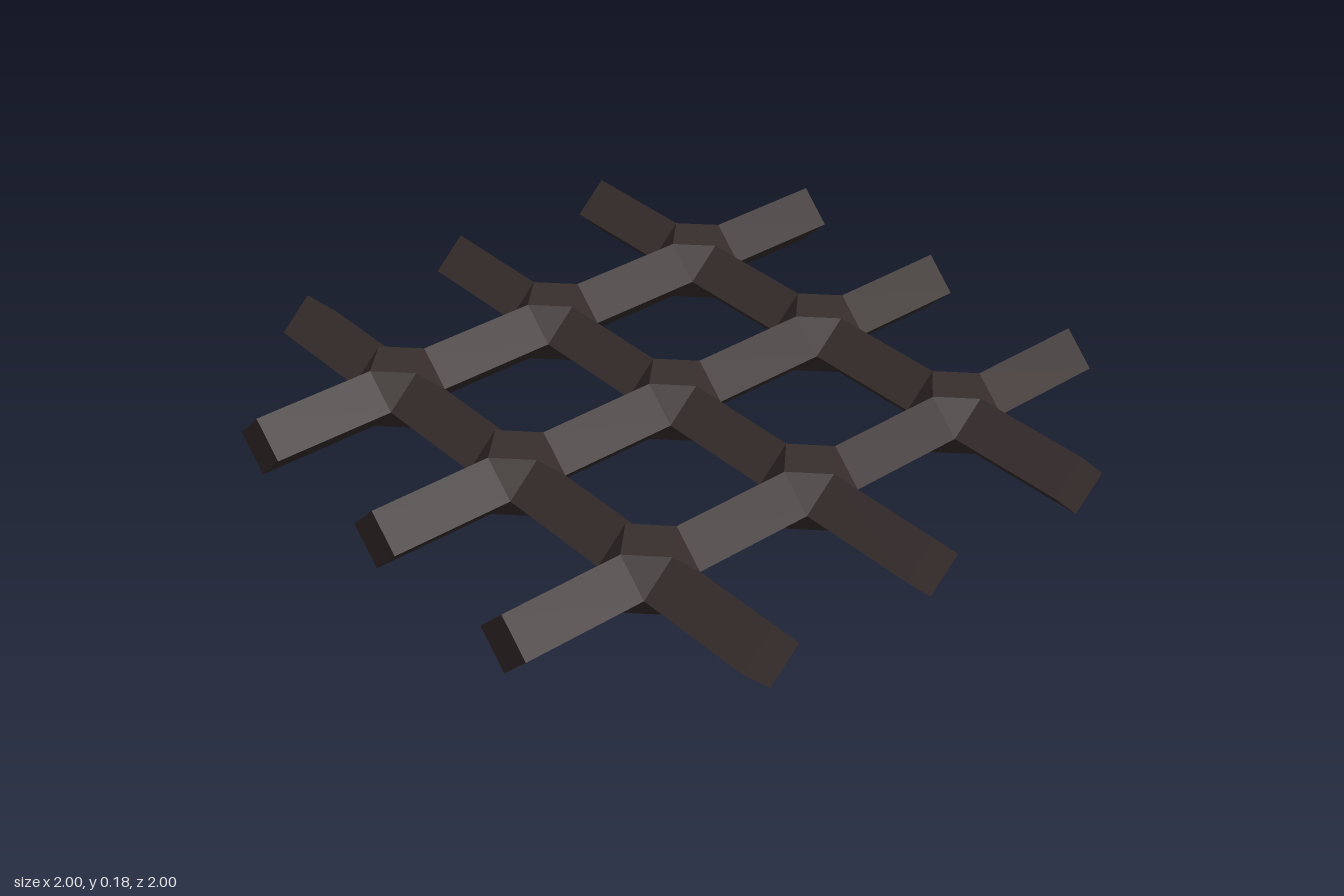
import * as THREE from 'three';
import { ConvexGeometry } from 'three/addons/geometries/ConvexGeometry.js';

const U = 1 / 11; // half the bar's diagonal; the whole lattice follows this unit
const NODES = [-6 * U, 0, 6 * U];
const SPANS = [-9 * U, -3 * U, 3 * U, 9 * U];

// Faceted copy of a geometry
function faceted(geometry) {
  const g = geometry.index ? geometry.toNonIndexed() : geometry;
  g.computeVertexNormals();
  return g;
}

// Joint: hull of the four diamond-shaped bar ends, with a flat top and bottom
function jointGeometry() {
  const points = [];
  for (const a of [-U, U]) {
    for (const b of [-U, U]) {
      points.push(new THREE.Vector3(a, b, 0), new THREE.Vector3(a, 0, b), new THREE.Vector3(0, a, b));
    }
  }
  return faceted(new ConvexGeometry(points));
}

export function createModel() {
  const model = new THREE.Group();
  model.name = 'grate';
  const iron = new THREE.MeshStandardMaterial({ color: 0x382f2e });
  iron.name = 'dark iron';

  // Four-sided bar pieces standing on edge, all of one length
  const bar = faceted(new THREE.CylinderGeometry(U, U, 4 * U, 4));
  const crossBar = bar.clone().rotateZ(Math.PI / 2);
  const longBar = bar.clone().rotateX(Math.PI / 2);
  const joint = jointGeometry();

  const add = (name, geometry, x, z) => {
    const mesh = new THREE.Mesh(geometry, iron);
    mesh.name = name;
    mesh.position.set(x, U, z);
    model.add(mesh);
  };

  for (const n of NODES) {
    for (const s of SPANS) {
      add('crossBar', crossBar, s, n);
      add('longBar', longBar, n, s);
    }
    for (const m of NODES) add('joint', joint, n, m);
  }
  return model;
}
